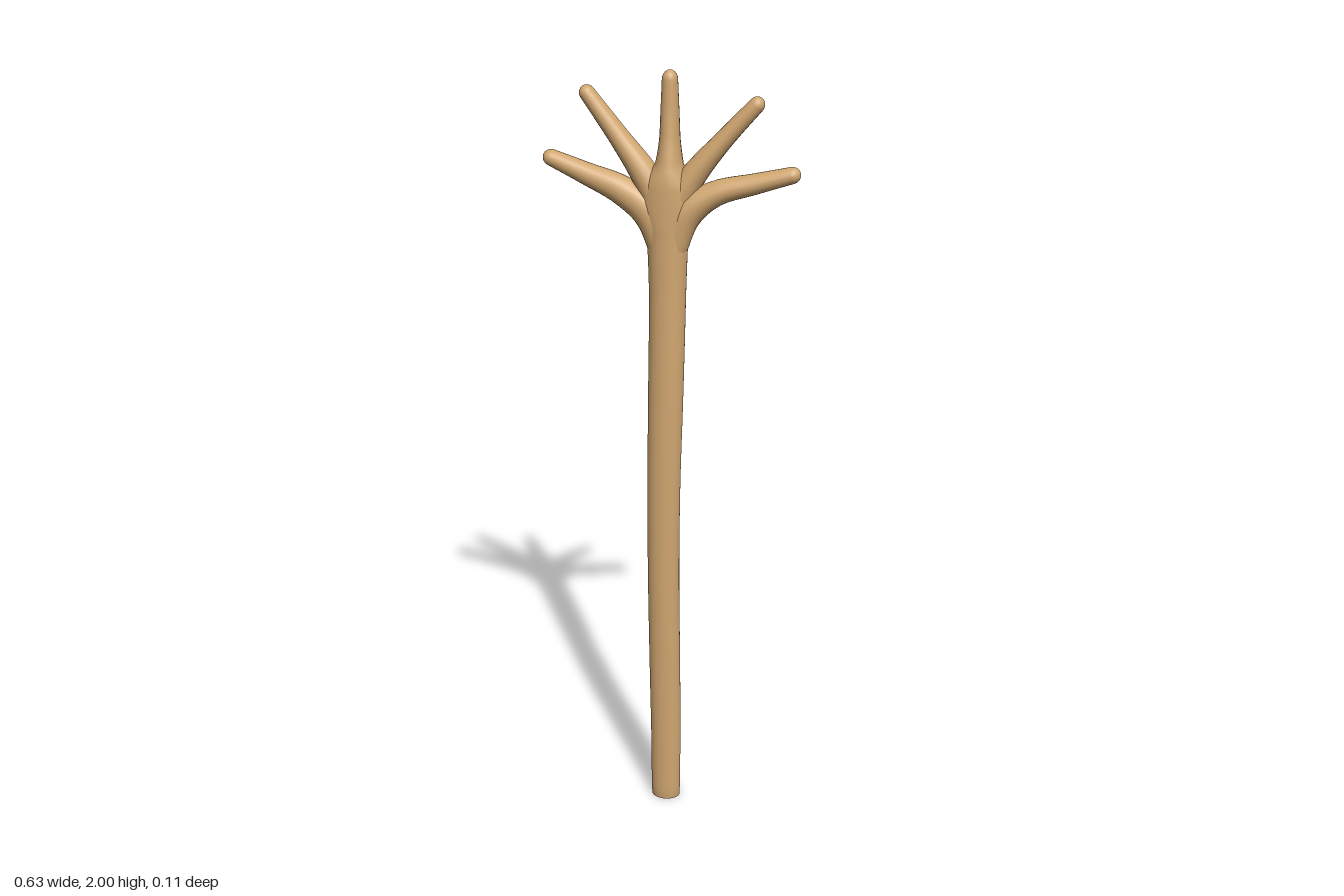
import * as THREE from 'three';

const SIDES = 20;

// Smooth limb through sections [x, y, z, radius across, radius in z], closed at both ends.
function limb(sections, steps, startRound, endRound) {
  const path = new THREE.CatmullRomCurve3(sections.map(s => new THREE.Vector3(s[0], s[1], s[2])));
  const radii = new THREE.CatmullRomCurve3(sections.map(s => new THREE.Vector3(s[3], s[4], 0)));
  const rings = [];
  const ring = (t, offset, inset) => {
    const p = path.getPoint(t), tan = path.getTangent(t), r = radii.getPoint(t);
    rings.push({ c: p.addScaledVector(tan, offset), side: new THREE.Vector3(tan.y, -tan.x, 0).normalize(),
      rx: r.x * (1 - inset), rz: r.y * (1 - inset) });
  };
  // rounded start: a flat disc with a soft rim
  const r0 = Math.min(sections[0][3], sections[0][4]);
  ring(0, 0, 1);
  for (let i = 0; i < 4; i++) {
    const a = (i / 4) * Math.PI / 2;
    ring(0, startRound * (1 - Math.sin(a + Math.PI / 8)) * 0.5, startRound / r0 * (1 - Math.sin(a)));
  }
  for (let i = 1; i <= steps; i++) ring(i / steps, 0, 0);
  // domed tip
  for (let i = 1; i <= 5; i++) {
    const a = (i / 5) * Math.PI / 2;
    ring(1, endRound * Math.sin(a), 1 - Math.cos(a));
  }
  const pos = [], idx = [];
  rings.forEach(({ c, side, rx, rz }, i) => {
    for (let j = 0; j < SIDES; j++) {
      const a = (j / SIDES) * Math.PI * 2;
      const u = Math.cos(a) * rx;
      pos.push(c.x + side.x * u, c.y + side.y * u, c.z + Math.sin(a) * rz);
      if (i === rings.length - 1) continue;
      const k = (j + 1) % SIDES, b = i * SIDES, t = b + SIDES;
      idx.push(b + j, t + j, t + k, b + j, t + k, b + k);
    }
  });
  const g = new THREE.BufferGeometry();
  g.setAttribute('position', new THREE.Float32BufferAttribute(pos, 3));
  g.setIndex(idx);
  g.computeVertexNormals();
  return g;
}

export function createModel() {
  const group = new THREE.Group();
  const wood = new THREE.MeshStandardMaterial({ color: 0xd0a670 });
  wood.name = 'wood';
  const add = (name, geometry) => {
    const mesh = new THREE.Mesh(geometry, wood);
    mesh.name = name;
    group.add(mesh);
  };

  // Slightly bowed shaft that swells into the palm and runs on as the middle prong
  add('shaftAndMiddleProng', limb([
    [-0.006, 0.0, 0.015, 0.040, 0.031],
    [-0.006, 0.2, 0.015, 0.041, 0.032],
    [-0.008, 0.4, 0.016, 0.042, 0.033],
    [-0.011, 0.7, 0.018, 0.042, 0.035],
    [-0.010, 0.95, 0.017, 0.043, 0.036],
    [-0.006, 1.2, 0.012, 0.045, 0.038],
    [-0.003, 1.45, 0.004, 0.046, 0.041],
    [-0.004, 1.6, -0.002, 0.051, 0.046],
    [-0.006, 1.68, -0.005, 0.066, 0.049],
    [-0.004, 1.73, -0.007, 0.060, 0.050],
    [-0.001, 1.78, -0.008, 0.034, 0.043],
    [0, 1.84, -0.009, 0.025, 0.032],
    [0, 1.91, -0.010, 0.022, 0.025],
    [0, 1.978, -0.010, 0.019, 0.021],
  ], 78, 0.014, 0.022));

  // Outer prongs curve out of the shaft, inner prongs rise from the palm
  add('rightLowerProng', limb([
    [-0.015, 1.56, 0, 0.030, 0.036],
    [-0.045, 1.655, -0.003, 0.042, 0.040],
    [-0.115, 1.708, -0.007, 0.036, 0.035],
    [-0.205, 1.745, -0.009, 0.027, 0.029],
    [-0.293, 1.780, -0.010, 0.020, 0.023],
  ], 24, 0.01, 0.021));
  add('leftLowerProng', limb([
    [0.010, 1.56, 0, 0.030, 0.036],
    [0.040, 1.660, -0.003, 0.040, 0.040],
    [0.110, 1.712, -0.007, 0.031, 0.035],
    [0.205, 1.740, -0.009, 0.025, 0.029],
    [0.294, 1.765, -0.010, 0.020, 0.023],
  ], 24, 0.01, 0.021));
  add('rightUpperProng', limb([
    [-0.010, 1.66, -0.005, 0.040, 0.042],
    [-0.062, 1.752, -0.009, 0.034, 0.037],
    [-0.125, 1.838, -0.011, 0.025, 0.028],
    [-0.201, 1.938, -0.012, 0.019, 0.021],
  ], 20, 0.01, 0.020));
  add('leftUpperProng', limb([
    [0.005, 1.67, -0.005, 0.040, 0.042],
    [0.060, 1.757, -0.009, 0.031, 0.037],
    [0.130, 1.842, -0.011, 0.023, 0.028],
    [0.206, 1.926, -0.012, 0.019, 0.021],
  ], 20, 0.01, 0.020));

  return group;
}
